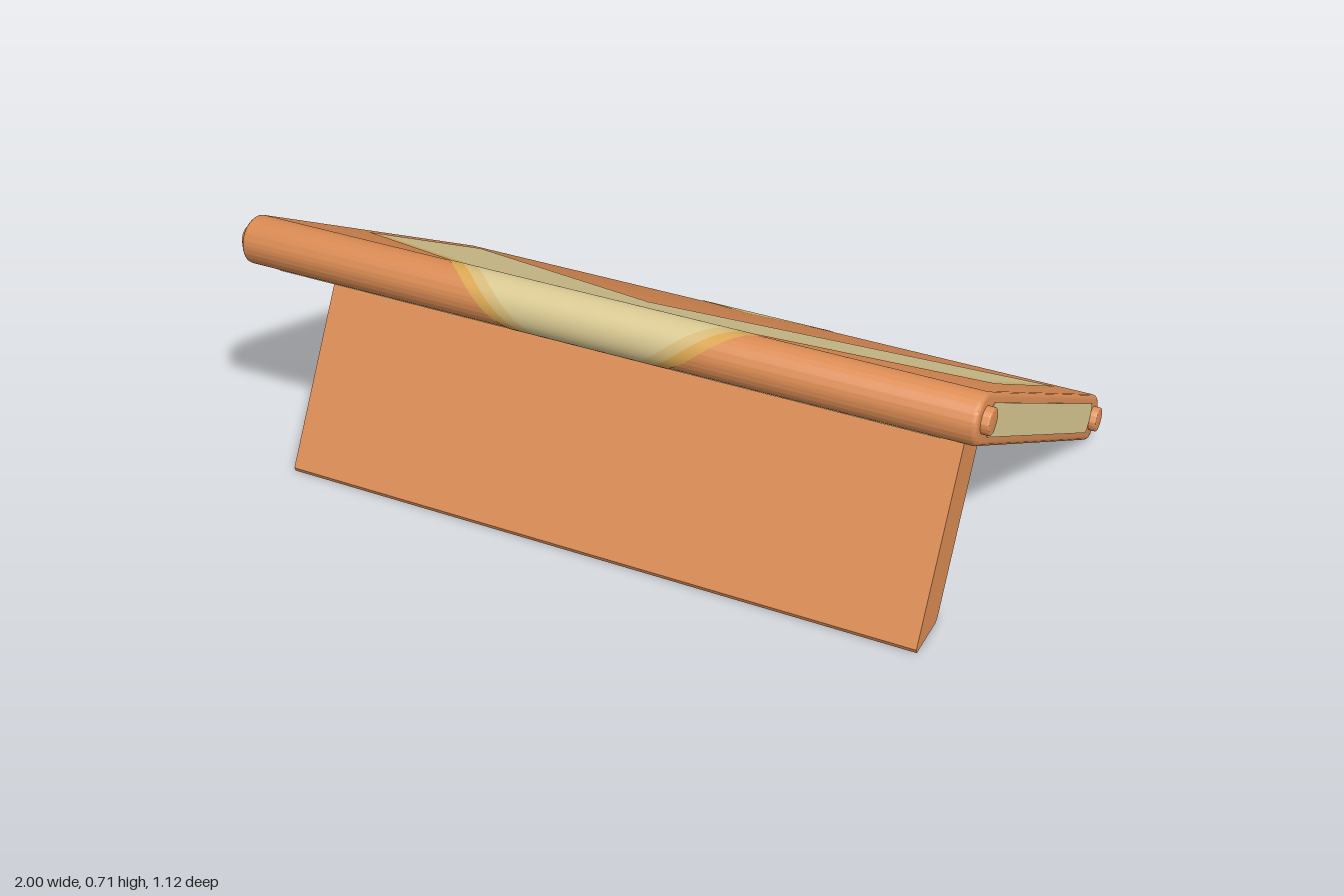
import * as THREE from 'three';
import { toCreasedNormals } from 'three/addons/utils/BufferGeometryUtils.js';

const HALF = 0.571;   // half length of the flat part of the board
const R = 0.063;      // half thickness and radius of the rounded ends
const SLOPE = 0.843;  // slope of the painted chevron edges

const paint = (name, color) => {
  const m = new THREE.MeshStandardMaterial({ color, side: THREE.DoubleSide });
  m.name = name;
  return m;
};

export function createModel() {
  const orange = paint('orange', 0xdd8d55);
  const cream = paint('cream', 0xdccb94);
  const amber = paint('amber', 0xdda954);
  const paleAmber = paint('pale amber', 0xdabd7c);

  const model = new THREE.Group();
  model.name = 'slopedBoard';
  const board = new THREE.Group();
  board.name = 'board';
  board.position.set(0, 0.361, -0.003);
  board.rotation.x = -Math.PI / 6;
  model.add(board);

  const add = (parent, name, geometry, material) => {
    const mesh = new THREE.Mesh(geometry, material);
    mesh.name = name;
    parent.add(mesh);
    return mesh;
  };

  // Extrudes a (z, y) profile across x from -halfWidth to halfWidth
  const across = (shape, halfWidth, bevel = 0) => {
    const depth = 2 * (halfWidth - bevel);
    const g = new THREE.ExtrudeGeometry(shape, {
      depth, curveSegments: 28, bevelEnabled: bevel > 0, bevelThickness: bevel,
      bevelSize: bevel, bevelOffset: -bevel, bevelSegments: 3,
    });
    g.translate(0, 0, -depth / 2);
    g.rotateY(-Math.PI / 2);
    return toCreasedNormals(g, 0.6);
  };
  const polygon = (pts) => new THREE.Shape(pts.map(([a, b]) => new THREE.Vector2(a, b)));

  // Board slab with rounded long edges
  const slab = new THREE.Shape();
  slab.moveTo(-HALF, -R);
  slab.lineTo(HALF, -R);
  slab.absarc(HALF, 0, R, -Math.PI / 2, Math.PI / 2, false);
  slab.lineTo(-HALF, R);
  slab.absarc(-HALF, 0, R, Math.PI / 2, Math.PI * 1.5, false);
  add(board, 'slab', across(slab, 0.98, 0.012), orange);

  // Rods whose ends show as pins on both sides
  for (const [name, z] of [['frontRod', HALF], ['backRod', -HALF]]) {
    const disc = new THREE.Shape();
    disc.absarc(0, 0, 0.033, 0, Math.PI * 2, false);
    add(board, name, across(disc, 1, 0.004), orange).position.z = z;
  }

  // Cream strips on the sides
  const [sl, sh, sc] = [0.536, 0.04, 0.014];
  const strip = polygon([[-sl, -sh + sc], [-sl + sc, -sh], [sl - sc, -sh], [sl, -sh + sc],
    [sl, sh - sc], [sl - sc, sh], [-sl + sc, sh], [-sl, sh - sc]]);
  for (const [name, side] of [['leftStrip', 1], ['rightStrip', -1]]) {
    add(board, name, across(strip, 0.002), cream).position.x = side * 0.98;
  }

  // Cream panel under the board
  const panel = add(board, 'undersidePanel', new THREE.BoxGeometry(1.775, 0.004, 2 * HALF), cream);
  panel.position.y = -R;

  // Point and normal on the slab at distance s along its top and around its ends
  const wrap = (s) => {
    const flat = THREE.MathUtils.clamp(s, -HALF, HALF);
    const a = (s - flat) / R;
    const n = [Math.cos(a), Math.sin(a)];
    return { y: n[0] * (R + 0.0015), z: flat + n[1] * (R + 0.0015), n };
  };

  // Painted area between two x limits given as functions of s, mirrored to both sides
  const painted = (s0, s1, inner, outer) => {
    const pos = [], nor = [], idx = [];
    const steps = 200;
    for (const side of [1, -1]) {
      const base = pos.length / 3;
      for (let i = 0; i <= steps; i++) {
        const s = s0 + (s1 - s0) * i / steps;
        const { y, z, n } = wrap(s);
        const xi = inner(s), xo = Math.max(xi, outer(s));
        for (const x of [xi, xo]) {
          pos.push(side * x, y, z);
          nor.push(0, n[0], n[1]);
        }
        if (i === steps) continue;
        const k = base + i * 2;
        if (side > 0) idx.push(k, k + 2, k + 1, k + 1, k + 2, k + 3);
        else idx.push(k, k + 1, k + 2, k + 1, k + 3, k + 2);
      }
    }
    const g = new THREE.BufferGeometry();
    g.setAttribute('position', new THREE.Float32BufferAttribute(pos, 3));
    g.setAttribute('normal', new THREE.Float32BufferAttribute(nor, 3));
    g.setIndex(idx);
    return g;
  };

  // Large chevron on the top, running over the front edge
  const END = HALF + Math.PI * R;
  const notch = (s) => Math.max(0, (0.282 - s) / SLOPE);
  const edge = (s) => 0.43 + (HALF - s) / SLOPE;
  const amberOut = (s) => Math.min(0.888, edge(s));
  const paleOut = (s) => Math.min(0.888, edge(s) - 0.04);
  const creamOut = (s) => Math.min(0.855, edge(s) - 0.08);
  const from = (limit) => (s) => Math.max(notch(s), limit(s));
  add(board, 'chevron', painted(-0.469, END, notch, creamOut), cream);
  add(board, 'chevronInnerBorder', painted(-0.469, END, from(creamOut), paleOut), paleAmber);
  add(board, 'chevronOuterBorder', painted(-0.469, END, from(paleOut), amberOut), amber);

  // Small wedge running over the back edge
  const wedge = (inset) => (s) => Math.max(0, (-0.411 - s) / SLOPE - inset);
  add(board, 'wedge', painted(-END, -0.411, () => 0, wedge(0.075)), cream);
  add(board, 'wedgeInnerBorder', painted(-END, -0.411, wedge(0.075), wedge(0.04)), paleAmber);
  add(board, 'wedgeOuterBorder', painted(-END, -0.411, wedge(0.04), wedge(0)), amber);

  // Support leg, set square to the board and cut flat at the floor
  const leg = polygon([[0.563, 0.012], [0.558, 0], [0.432, 0], [0.42, 0.006], [0.411, 0.02],
    [0.18, 0.42], [0.288, 0.483]]);
  add(model, 'supportLeg', across(leg, 0.88), orange);

  return model;
}
